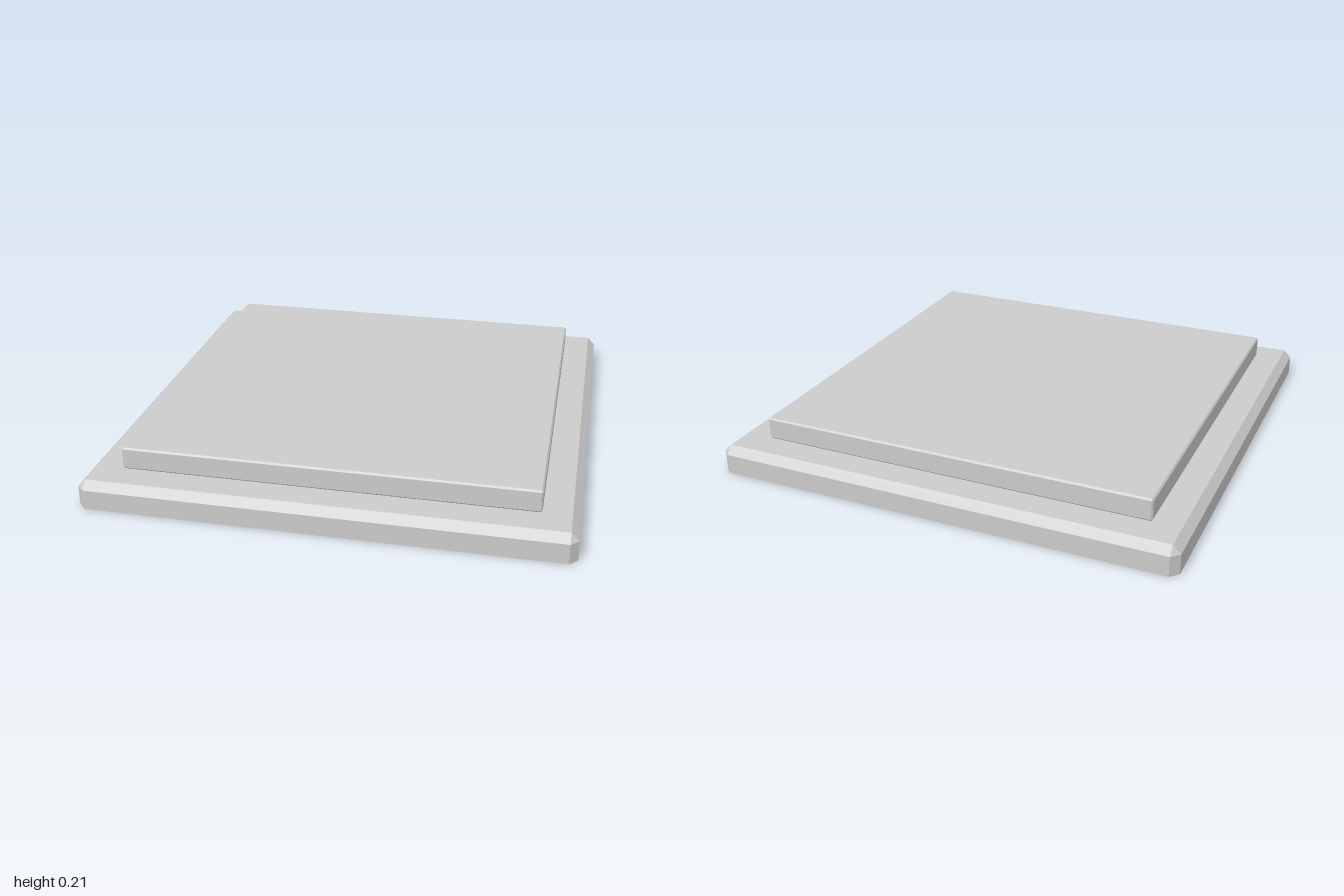
import * as THREE from 'three';
import { ConvexGeometry } from 'three/addons/geometries/ConvexGeometry.js';

const material = new THREE.MeshStandardMaterial({ color: 0xcccccc, flatShading: true });

// Square slab whose edges carry a single flat chamfer
function chamferedSlab(name, half, y0, y1, bevel, bevelBottom) {
  const inner = half - bevel;
  const points = [];
  for (const sx of [-1, 1]) {
    for (const sz of [-1, 1]) {
      const add = (x, y, z) => points.push(new THREE.Vector3(sx * x, y, sz * z));
      // chamfered vertical corner
      for (const y of [bevelBottom ? y0 + bevel : y0, y1 - bevel]) {
        add(half, y, inner);
        add(inner, y, half);
      }
      // inset corners of the flat faces
      add(inner, y1, inner);
      if (bevelBottom) add(inner, y0, inner);
    }
  }
  const mesh = new THREE.Mesh(new ConvexGeometry(points), material);
  mesh.name = name;
  return mesh;
}

export function createModel() {
  const group = new THREE.Group();
  group.name = 'steppedPlinth';
  // Wide base with a flat underside, and a finely bevelled upper slab
  group.add(chamferedSlab('base', 1, 0, 0.118, 0.033, false));
  group.add(chamferedSlab('upperSlab', 0.852, 0.118, 0.214, 0.007, true));
  return group;
}
